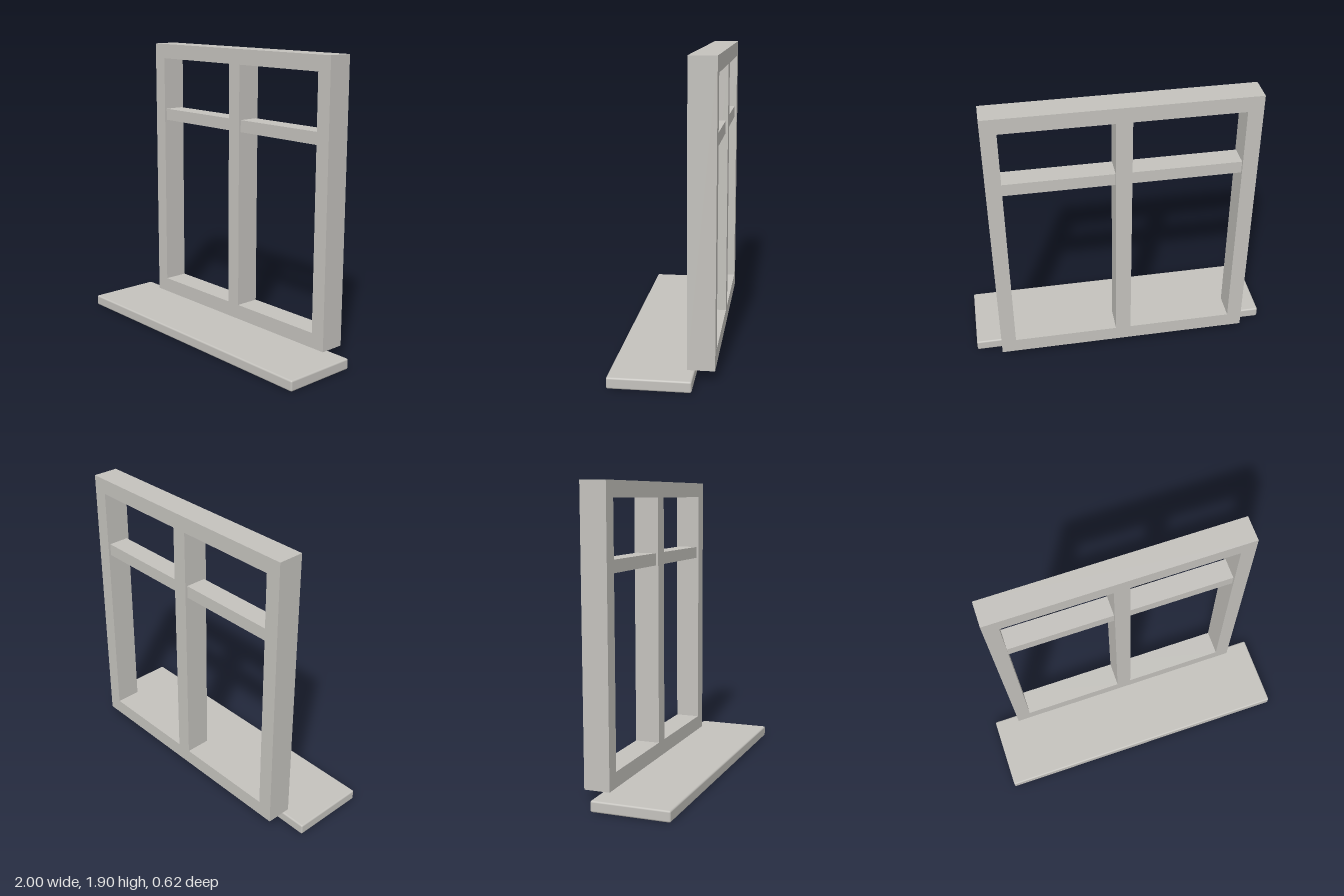
import * as THREE from 'three';
import { RoundedBoxGeometry } from 'three/addons/geometries/RoundedBoxGeometry.js';

export function createModel() {
  const model = new THREE.Group();
  model.name = 'window';
  const paint = new THREE.MeshStandardMaterial({ color: 0xc4c2bd });
  paint.name = 'pale grey paint';

  const add = (name, geometry, x, y, z) => {
    const mesh = new THREE.Mesh(geometry, paint);
    mesh.name = name;
    mesh.position.set(x, y, z);
    model.add(mesh);
  };

  // Sill board with slightly rounded edges
  add('sill', new RoundedBoxGeometry(2, 0.07, 0.5, 2, 0.011), 0, 0.035, 0.06);

  // Outer frame and central mullion, cut from one slab with two openings
  const rect = (path, x0, y0, x1, y1) =>
    path.moveTo(x0, y0).lineTo(x1, y0).lineTo(x1, y1).lineTo(x0, y1).closePath();
  const outline = new THREE.Shape();
  rect(outline, -0.832, 0.07, 0.832, 1.905);
  for (const [x0, x1] of [[-0.735, -0.05], [0.05, 0.735]]) {
    const opening = new THREE.Path();
    rect(opening, x0, 0.17, x1, 1.805);
    outline.holes.push(opening);
  }
  const depth = 0.167;
  add('frame', new THREE.ExtrudeGeometry(outline, { depth, bevelEnabled: false }), 0, 0, -0.31);

  // Transom bars, set back a little from both faces of the frame
  for (const [name, side] of [['leftTransom', 1], ['rightTransom', -1]]) {
    add(name, new THREE.BoxGeometry(0.685, 0.08, depth - 0.03), side * 0.3925, 1.404, -0.31 + depth / 2);
  }

  return model;
}
